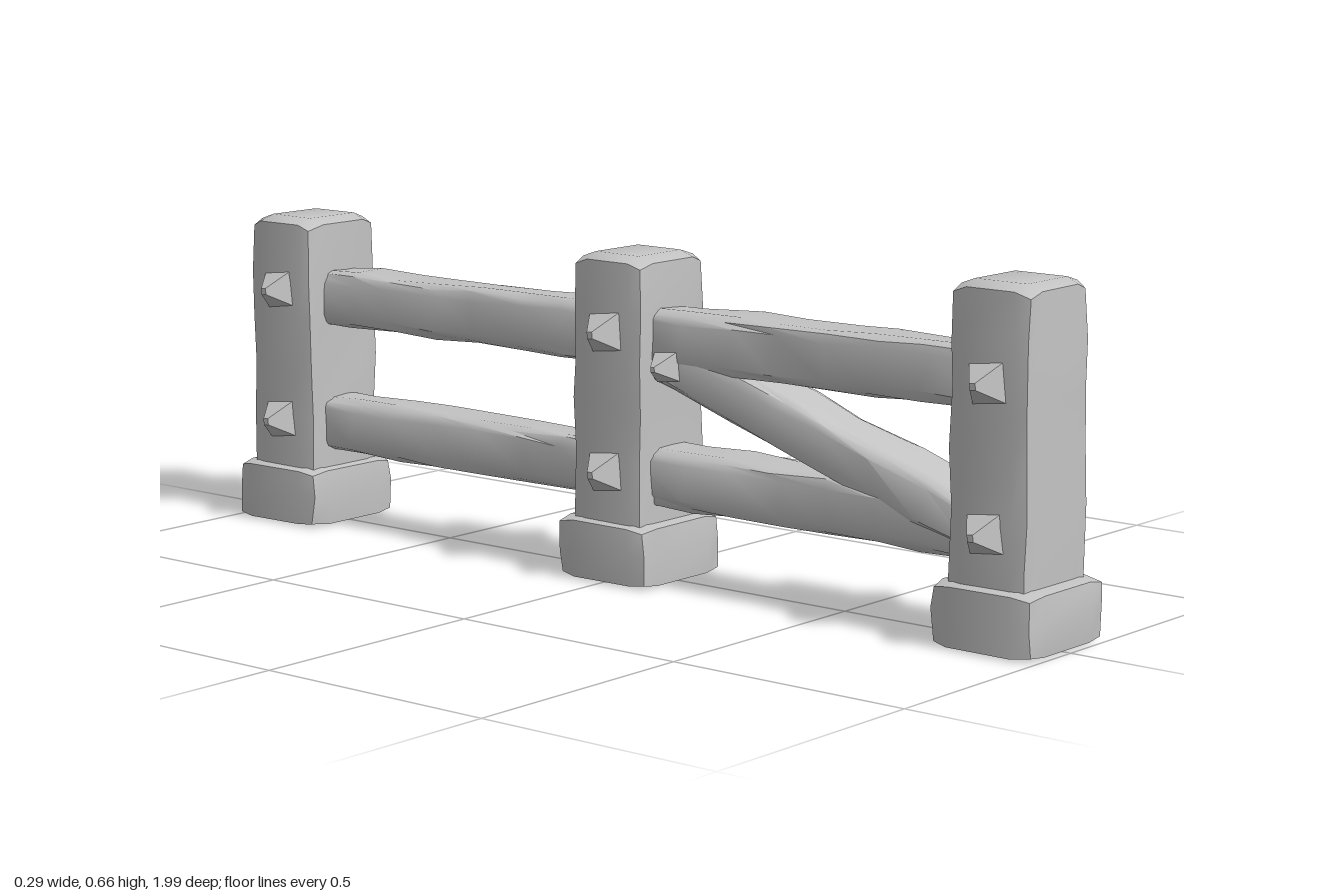
import * as THREE from 'three';
import { mergeVertices, toCreasedNormals } from 'three/addons/utils/BufferGeometryUtils.js';

const stone = new THREE.MeshStandardMaterial({ color: 0xc4c4c4 });
stone.name = 'plain grey';

// small repeatable random source for the hand-hewn unevenness
let seed = 7;
const rand = () => {
  seed = (seed * 16807) % 2147483647;
  return (seed / 2147483647) * 2 - 1;
};

// Hewn block, long axis y: bevelled corners, softened ends and slight dents
function hewn(name, w, h, d, { rows = 5, corner = 0.94, drop = 0.015, bottomDrop = 0, dent = 0.005 } = {}) {
  let geo = new THREE.BoxGeometry(w, h, d, 3, rows, 3);
  geo.deleteAttribute('uv');
  geo.deleteAttribute('normal');
  geo = mergeVertices(geo, 1e-4);
  const p = geo.attributes.position;
  for (let i = 0; i < p.count; i++) {
    let x = p.getX(i) / (w / 2), y = p.getY(i), z = p.getZ(i) / (d / 2);
    const ex = Math.abs(x) > 0.9, ez = Math.abs(z) > 0.9;
    const top = y > h / 2 - 1e-4, bottom = y < -h / 2 + 1e-4;
    // inner columns spread out so that the faces stay broad
    if (!ex) x *= 1.9;
    if (!ez) z *= 1.9;
    // bevel along the long edges
    if (ex && ez) { x *= corner; z *= corner; }
    // rounded ends
    const edge = (ex ? 1 : 0) + (ez ? 1 : 0);
    if (top) y -= drop * edge * 0.5;
    if (bottom) y += bottomDrop * edge * 0.5;
    if ((top || bottom) && edge) { x *= 0.975; z *= 0.975; }
    // uneven rows and shallow dents, always inwards
    if (!top && !bottom) y += rand() * h / rows * 0.2;
    const k = Math.abs(rand()) * dent;
    x -= Math.sign(x) * k / (w / 2);
    z -= Math.sign(z) * Math.abs(rand()) * dent / (d / 2);
    p.setXYZ(i, x * w / 2, y, z * d / 2);
  }
  const mesh = new THREE.Mesh(toCreasedNormals(geo, 0.75), stone);
  mesh.name = name;
  return mesh;
}

// Beam whose centre line runs from (y0, z0) to (y1, z1)
function beam(name, x, y0, z0, y1, z1, w, t) {
  const len = Math.hypot(y1 - y0, z1 - z0);
  const mesh = hewn(name, w, len, t, { rows: 7, corner: 0.88, drop: 0, dent: 0.008 });
  mesh.position.set(x, (y0 + y1) / 2, (z0 + z1) / 2);
  mesh.rotation.x = Math.atan2(z1 - z0, y1 - y0);
  return mesh;
}

// Pointed square peg head on the face at x, facing outwards
function peg(x, y, z, size, height, side) {
  const geo = new THREE.CylinderGeometry(size * 0.12, size * 0.74, height, 4, 1);
  geo.rotateY(Math.PI / 4);
  const mesh = new THREE.Mesh(toCreasedNormals(geo, 0.4), stone);
  mesh.name = 'peg';
  mesh.position.set(side * (x + height / 2), y, z);
  mesh.rotation.set(0.12 * side, 0, -side * Math.PI / 2);
  return mesh;
}

export function createModel() {
  const fence = new THREE.Group();
  fence.name = 'fence';

  // Posts with wide feet and two pegs on either side
  const posts = [
    { name: 'frontPost', z: 0.88, top: 0.662, foot: 0.882 },
    { name: 'middlePost', z: 0, top: 0.632, foot: 0 },
    { name: 'backPost', z: -0.878, top: 0.632, foot: -0.882 },
  ];
  for (const { name, z, top, foot } of posts) {
    const group = new THREE.Group();
    group.name = name;
    const shaft = hewn('shaft', 0.204, top - 0.04, 0.18, { rows: 6, drop: 0.022, dent: 0.006 });
    shaft.position.set(0, top / 2 + 0.02, z);
    const base = hewn('foot', 0.25, 0.122, 0.234, { rows: 2, drop: 0.014, bottomDrop: 0.008, dent: 0.007 });
    base.position.set(0, 0.061, foot);
    group.add(shaft, base);
    for (const side of [-1, 1]) {
      group.add(peg(0.093, 0.485, z, 0.075, 0.052, side));
      group.add(peg(0.093, 0.215, z, 0.075, 0.052, side));
    }
    fence.add(group);
  }

  // Rails, two in each bay
  fence.add(
    beam('upperFrontRail', -0.004, 0.48, 0.83, 0.475, 0.04, 0.132, 0.122),
    beam('lowerFrontRail', -0.004, 0.207, 0.83, 0.208, 0.04, 0.132, 0.12),
    beam('upperBackRail', -0.002, 0.472, -0.04, 0.468, -0.83, 0.12, 0.12),
    beam('lowerBackRail', -0.002, 0.208, -0.04, 0.207, -0.83, 0.12, 0.12),
  );

  // Diagonal brace with its own small pegs
  fence.add(beam('brace', 0, 0.205, 0.83, 0.458, 0.04, 0.142, 0.105));
  for (const side of [-1, 1]) fence.add(peg(0.064, 0.428, 0.125, 0.055, 0.045, side));

  return fence;
}
